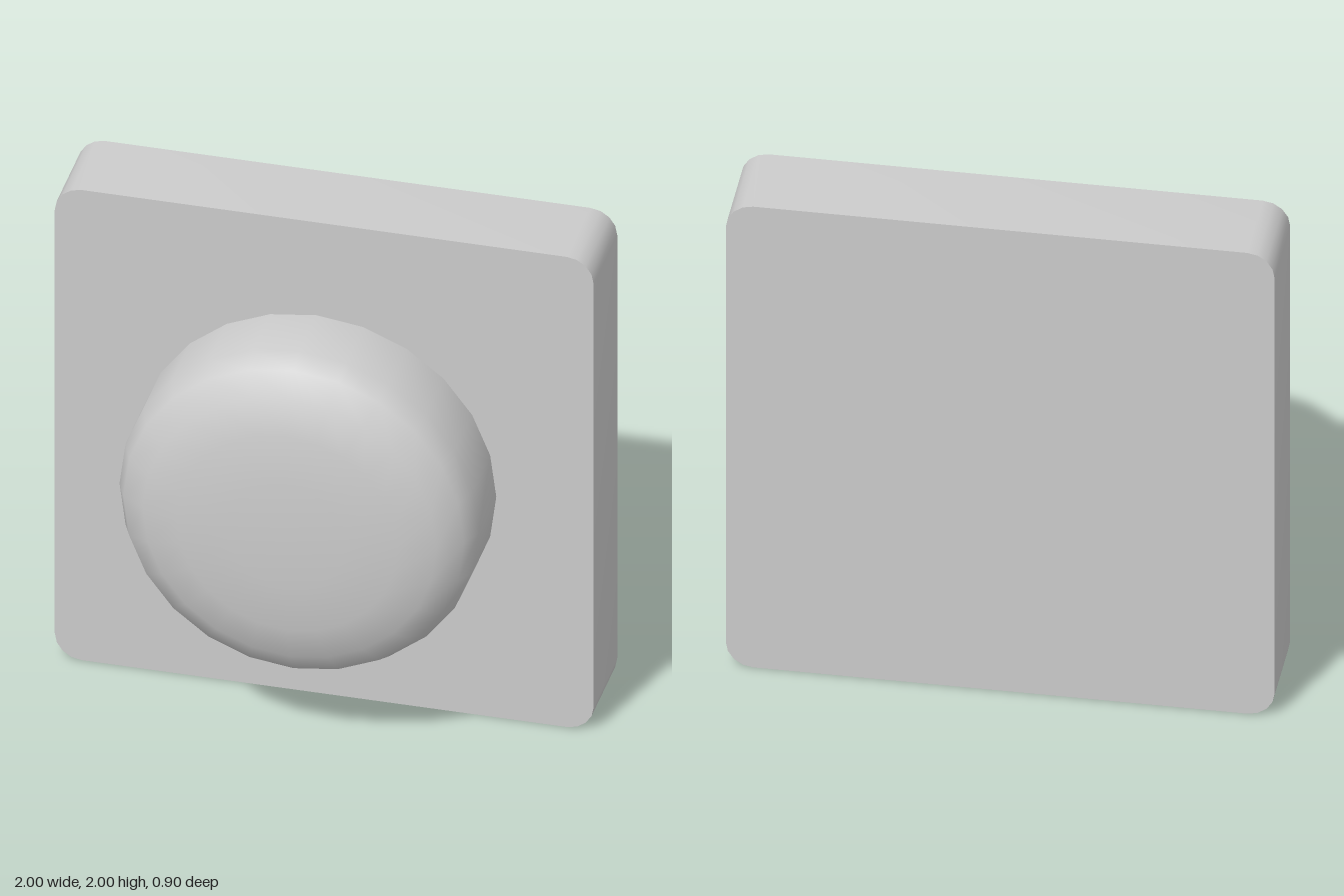
import * as THREE from 'three';
import { toCreasedNormals } from 'three/addons/utils/BufferGeometryUtils.js';

const CREASE = 0.9;
const SIDES = 24;
const AXIS_Y = 1.01;

function addPart(group, name, geometry) {
  const material = new THREE.MeshStandardMaterial({ color: 0xcccccc });
  const mesh = new THREE.Mesh(toCreasedNormals(geometry, CREASE), material);
  mesh.name = name;
  group.add(mesh);
  return mesh;
}

// Square outline with rounded corners, centred on the origin
function roundedSquare(half, radius) {
  const shape = new THREE.Shape();
  const c = half - radius;
  [[c, c], [-c, c], [-c, -c], [c, -c]].forEach(([x, y], i) => {
    shape.absarc(x, y, radius, i * Math.PI / 2, (i + 1) * Math.PI / 2, false);
  });
  shape.closePath();
  return shape;
}

// Turned part whose axis points to the front; profile is [radius, z]
function turned(profile) {
  const points = profile.map(([r, z]) => new THREE.Vector2(r, z));
  return new THREE.LatheGeometry(points, SIDES)
    .rotateX(Math.PI / 2)
    .translate(0, AXIS_Y, 0);
}

export function createModel() {
  const group = new THREE.Group();
  group.name = 'pushButton';

  // Wall plate
  const plate = new THREE.ExtrudeGeometry(roundedSquare(1, 0.1), {
    depth: 0.34, bevelEnabled: false, curveSegments: 2,
  });
  addPart(group, 'backPlate', plate.translate(0, 1, -0.45));

  // Narrow neck between plate and cap
  addPart(group, 'neck', turned([[0.58, -0.11], [0.58, 0]]));

  // Domed cap with a flat underside
  addPart(group, 'buttonCap', turned([
    [0, 0], [0.667, 0], [0.667, 0.25], [0.632, 0.33],
    [0.545, 0.39], [0.41, 0.428], [0.22, 0.443], [0, 0.45],
  ]));

  return group;
}
